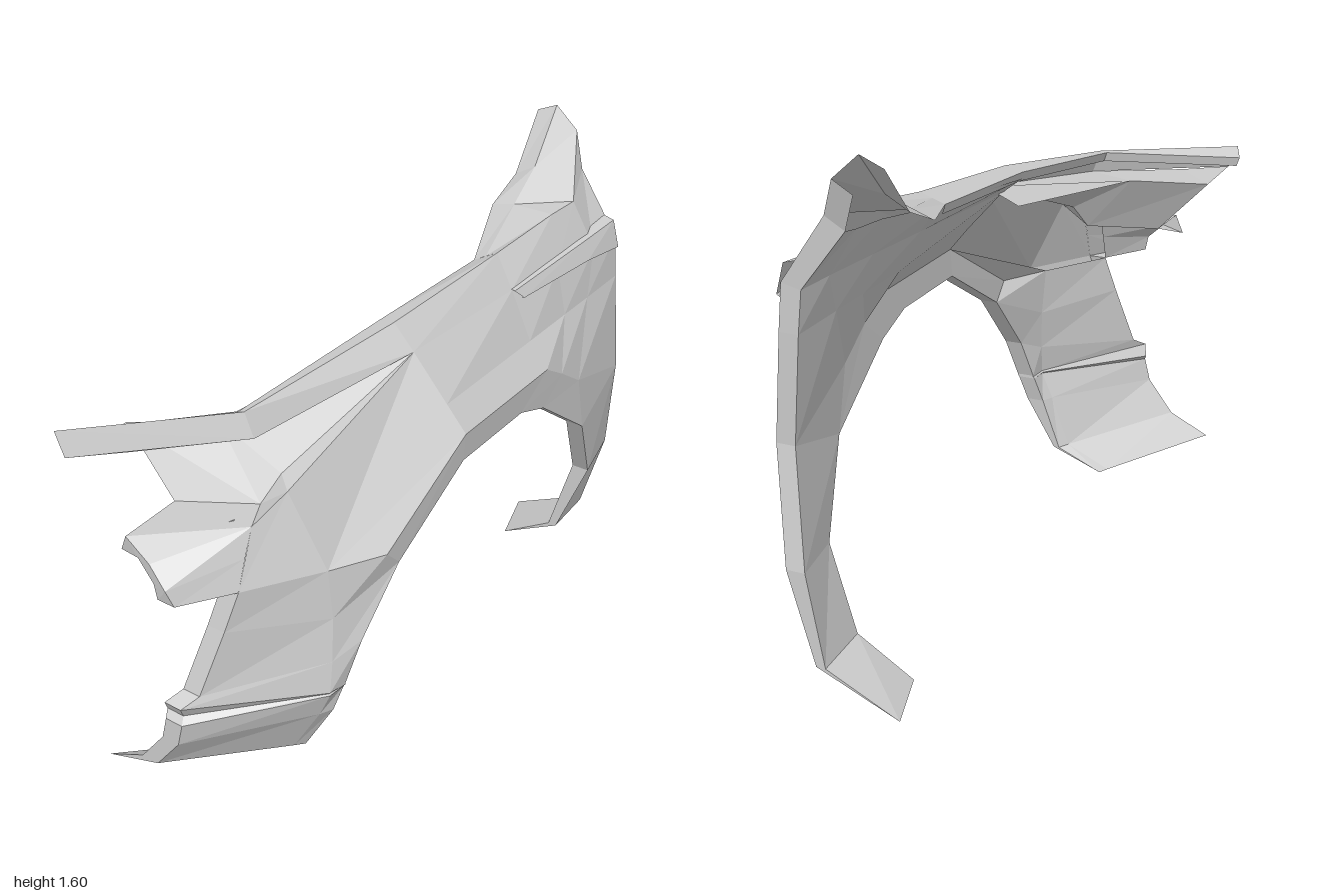
import * as THREE from 'three';

const material = new THREE.MeshStandardMaterial({ color: 0xcccccc, flatShading: true, side: THREE.DoubleSide });

// Faceted sheet lofted between rows that hold the same number of points
function sheet(group, name, rows) {
  const pos = [];
  for (let r = 0; r < rows.length - 1; r++) {
    for (let i = 0; i < rows[r].length - 1; i++) {
      const a = rows[r][i], b = rows[r][i + 1], c = rows[r + 1][i + 1], d = rows[r + 1][i];
      for (const p of [a, d, b, b, d, c]) pos.push(...p);
    }
  }
  const geometry = new THREE.BufferGeometry();
  geometry.setAttribute('position', new THREE.Float32BufferAttribute(pos, 3));
  geometry.computeVertexNormals();
  const mesh = new THREE.Mesh(geometry, material);
  mesh.name = name;
  group.add(mesh);
}

// Shell thickness: tapers to nothing at the leg tips, tucks below the top rail
const { clamp } = THREE.MathUtils;
const inset = ([x, y, z]) => [
  x - 0.06 * clamp((y - 0.08) / 0.06, 0, 1),
  y - 0.035 * clamp((y - 1.2) / 0.05, 0, 1),
  z,
];

// Outer skin with a matching inner skin
function shell(group, name, rows) {
  sheet(group, name, rows);
  sheet(group, name + 'Inner', rows.map((row) => row.map(inset).reverse()));
}

// Edge strip between outer and inner skin
const edgeStrip = (group, name, path) => sheet(group, name, [path, path.map(inset)]);

export function createModel() {
  const fender = new THREE.Group();
  fender.name = 'fender';

  // Shared corner points
  const shoulder = [0.2, 1.22, 0.1], ridgeMid = [0.13, 1.295, 0.1], ridgeBack = [0.17, 1.335, -0.4];
  const creaseTop = [0.38, 1, 0.09], archTop = [0.375, 0.91, 0.09];
  const creaseFront = [0.36, 0.78, 0.46], archFront = [0.36, 0.72, 0.4];
  const cheek = [0.27, 0.78, 0.62], tabRoot = [0.13, 0.78, 0.84];
  const archRear = [0.38, 0.66, -0.65], rearCorner = [0.345, 0.75, -0.94];
  const rearRidge = [0.21, 1.375, -0.8], rearTop = [0.15, 1.42, -0.96];
  const rearSide = [0.295, 1.22, -0.95], rearWaist = [0.31, 1.08, -0.95];

  // Main side skin: columns from ridge to shoulder, waist, crease and wheel arch
  const columns = [
    [ridgeMid, shoulder, [0.314, 1.08, 0.094], creaseTop, archTop],
    [ridgeBack, [0.24, 1.235, -0.38], [0.313, 1.08, -0.38], [0.38, 1, -0.38], [0.375, 0.91, -0.24]],
    [[0.2, 1.37, -0.68], [0.265, 1.23, -0.62], [0.312, 1.08, -0.6], [0.38, 0.94, -0.48], [0.375, 0.86, -0.38]],
    [rearRidge, [0.285, 1.225, -0.82], [0.312, 1.08, -0.75], [0.38, 0.86, -0.6], archRear],
    [rearTop, rearSide, rearWaist, rearCorner, rearCorner],
  ];
  shell(fender, 'sidePanel', columns);

  // Rear leg curling under
  const leg = [
    [archRear, rearCorner],
    [[0.34, 0.39, -0.8], [0.3, 0.4, -1]],
    [[0.23, 0.11, -0.8], [0.22, 0.11, -1]],
    [[0.02, 0, -0.8], [-0.04, 0, -1]],
  ];
  shell(fender, 'rearLeg', leg);

  // Horn at the upper rear corner
  const hornTip = [0.1, 1.53, -1];
  sheet(fender, 'rearHorn', [
    [ridgeBack, [0.135, 1.318, -0.39], [0.1, 1.3, -0.38]],
    [[0.2, 1.37, -0.68], [0.06, 1.37, -0.68], [-0.02, 1.35, -0.68]],
    [rearRidge, [0.05, 1.45, -0.82], [-0.02, 1.41, -0.82]],
    [hornTip, [0.02, 1.6, -1], [-0.05, 1.57, -1]],
  ]);
  sheet(fender, 'rearHornGusset', [[rearRidge, hornTip], [rearTop, rearTop]]);

  // Top rail reaching forward above the lamp opening
  const railInner = [[0.1, 1.3, -0.38], [0.07, 1.28, 0.1], [0, 1.22, 0.65], [-0.38, 1.17, 0.95]];
  const railRidge = [ridgeBack, ridgeMid, [0.02, 1.225, 0.65], [-0.36, 1.2, 0.99]];
  const lip = [shoulder, [0.05, 1.15, 0.65], [-0.33, 1.125, 0.99]];
  sheet(fender, 'topRail', [railInner, railRidge]);
  sheet(fender, 'topRailFace', [railRidge.slice(1), lip]);
  sheet(fender, 'topRailReturn', [railInner.map(([x, y, z]) => [x + 0.01, y - 0.03, z]), railInner]);

  // Lamp pocket
  const tabTip = [-0.15, 0.93, 0.97], bezelLow = [0.12, 0.95, 0.76], bezelHigh = [0.16, 1.02, 0.65];
  const wallBack = [0.04, 1.2, 0], wallMid = [-0.1, 1.14, 0.62], wallTip = [-0.33, 1.12, 0.75];
  const pocketFloor = [shoulder, [0.1, 1.03, 0.6], [0.07, 0.95, 0.66], [-0.15, 0.935, 0.77]];
  sheet(fender, 'lampPocketRoof', [
    [lip[0], lip[1], [-0.2, 1.13, 0.87], lip[2]],
    [wallBack, wallMid, wallTip, [-0.3, 1.115, 0.86]],
  ]);
  sheet(fender, 'lampPocketWall', [[wallBack, wallMid, wallMid, wallTip], pocketFloor]);
  sheet(fender, 'lampBezel', [pocketFloor, [shoulder, bezelHigh, bezelLow, tabTip]]);

  // Front cheek, and the tab with its folded edge
  const tabEdge = [tabTip, [-0.05, 0.89, 0.99], [0.01, 0.83, 1], [0.03, 0.78, 0.99]];
  const tabFold = [[-0.18, 0.87, 0.96], [-0.1, 0.885, 0.98], [-0.04, 0.83, 0.99], [-0.03, 0.78, 0.99]];
  const tabBack = [bezelLow, bezelLow, [0.125, 0.87, 0.8], tabRoot];
  sheet(fender, 'frontTab', [tabEdge, tabBack]);
  sheet(fender, 'frontTabFold', [tabFold, tabEdge]);
  sheet(fender, 'frontTabInner', [tabBack.map(inset), tabFold]);
  sheet(fender, 'frontCheek', [
    [bezelLow, bezelHigh, shoulder],
    [tabRoot, cheek, creaseTop],
  ]);
  shell(fender, 'archCrease', [[cheek, creaseTop], [creaseFront, creaseTop], [archFront, archTop]]);

  // Front leg, with a narrow groove, curling under
  const frontLeg = [
    [tabRoot, cheek, creaseFront],
    [[0.1, 0.65, 0.875], [0.285, 0.62, 0.62], archFront],
    [[0.05, 0.44, 0.94], [0.295, 0.48, 0.64], [0.335, 0.52, 0.55]],
    [[0.02, 0.41, 0.99], [0.3, 0.38, 0.66], [0.31, 0.38, 0.6]],
    [[0.01, 0.37, 0.97], [0.295, 0.375, 0.66], [0.31, 0.376, 0.6]],
    [[0.02, 0.35, 0.99], [0.3, 0.37, 0.66], [0.305, 0.37, 0.6]],
    [[0, 0.27, 0.99], [0.26, 0.28, 0.66], [0.28, 0.28, 0.62]],
    [[-0.09, 0.15, 0.99], [0.16, 0.105, 0.66], [0.18, 0.1, 0.63]],
    [[-0.29, 0.08, 0.99], [-0.02, 0.033, 0.66], [0, 0.03, 0.63]],
  ];
  shell(fender, 'frontLeg', frontLeg);

  // Edge strips around the wheel arch, front and rear
  edgeStrip(fender, 'wheelArchEdge', [
    ...frontLeg.slice(1).reverse().map((row) => row[2]),
    ...columns.slice(0, 4).map((column) => column[4]),
    ...leg.slice(1).map((row) => row[0]),
  ]);
  edgeStrip(fender, 'frontEdge', [tabEdge[3], ...frontLeg.map((row) => row[0])]);
  edgeStrip(fender, 'rearEdge', [hornTip, rearTop, rearSide, rearWaist, ...leg.map((row) => row[1])]);

  // Raised vent trim behind the arch
  sheet(fender, 'sideVent', [
    [[0.23, 1.24, -0.38], [0.245, 1.272, -0.76], [0.245, 1.285, -0.95]],
    [[0.25, 1.235, -0.38], [0.275, 1.262, -0.76], [0.285, 1.275, -0.95]],
    [[0.268, 1.205, -0.41], [0.3, 1.205, -0.76], [0.31, 1.185, -0.95]],
    [[0.25, 1.2, -0.41], [0.28, 1.197, -0.76], [0.295, 1.175, -0.95]],
  ]);

  return fender;
}
